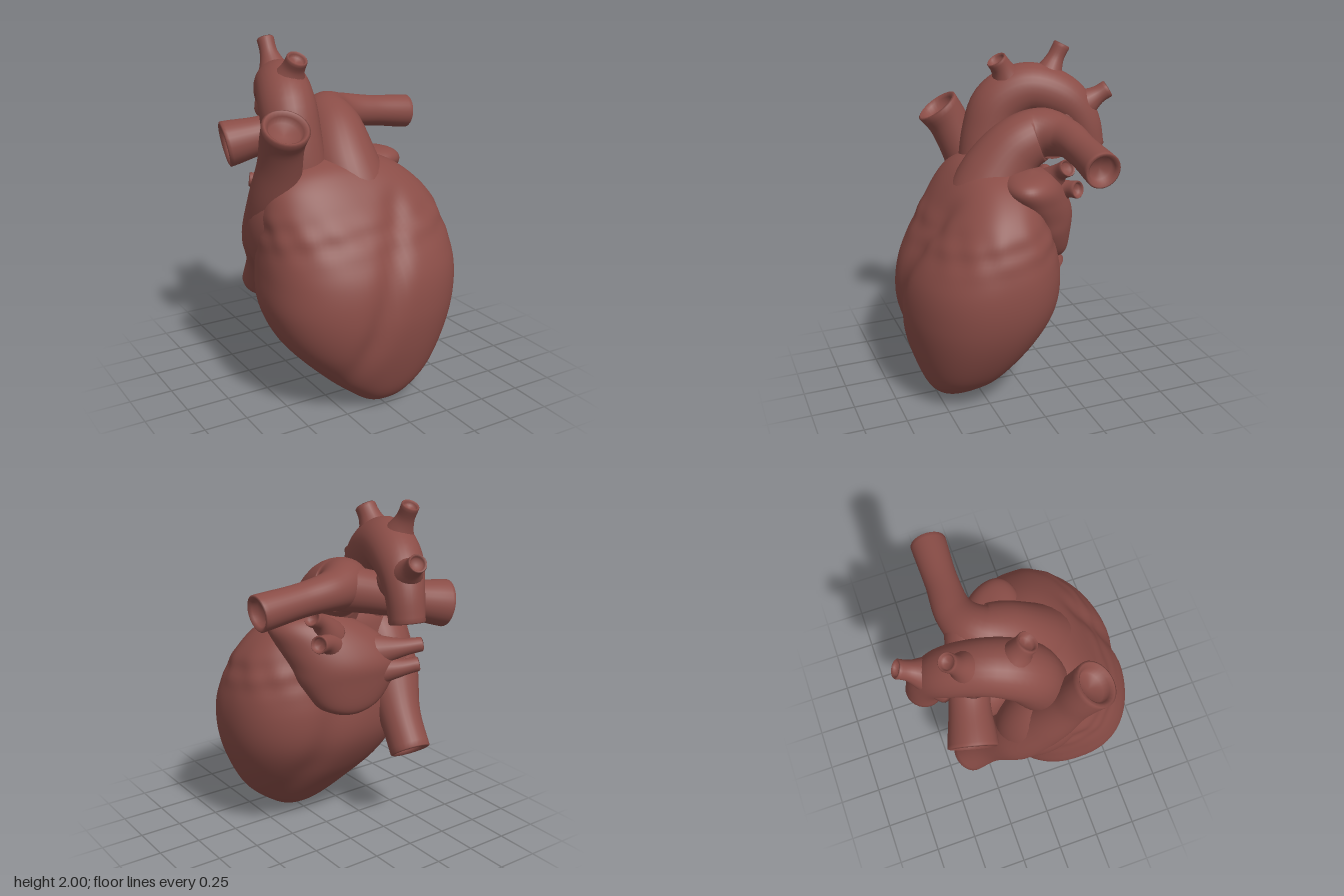
import * as THREE from 'three';
import { mergeVertices } from 'three/addons/utils/BufferGeometryUtils.js';

const flesh = new THREE.MeshStandardMaterial({ color: 0x8a4d47 });
flesh.name = 'flesh';

// Skin a list of closed rings (arrays of Vector3) into a smooth surface
function loft(rings) {
  const n = rings[0].length, index = [];
  for (let i = 0; i < rings.length - 1; i++) {
    for (let j = 0; j < n; j++) {
      const a = i * n + j, b = i * n + (j + 1) % n;
      index.push(a, a + n, b, b, a + n, b + n);
    }
  }
  let geo = new THREE.BufferGeometry().setFromPoints(rings.flat());
  geo.setIndex(index);
  geo = mergeVertices(geo, 1e-5);
  geo.computeVertexNormals();
  return geo;
}

function part(group, name, geo) {
  const mesh = new THREE.Mesh(geo, flesh);
  mesh.name = name;
  group.add(mesh);
  return mesh;
}

// Vessel through points [x, y, z, radius]; open ends get a lip and a hollow
function vessel(points, hollowStart = false, sides = 28, steps = 40) {
  const curve = new THREE.CatmullRomCurve3(points.map(p => new THREE.Vector3(p[0], p[1], p[2])));
  const radii = new THREE.SplineCurve(points.map((p, i) => new THREE.Vector2(i, p[3])));
  const frames = curve.computeFrenetFrames(steps);
  const ring = (i, scale = 1, inset = 0) => {
    const u = i / steps, c = curve.getPointAt(u).addScaledVector(frames.tangents[i], inset);
    const r = radii.getPoint(curve.getUtoTmapping(u)).y * scale;
    return Array.from({ length: sides }, (_, j) => {
      const a = j / sides * Math.PI * 2;
      return c.clone().addScaledVector(frames.normals[i], r * Math.cos(a))
        .addScaledVector(frames.binormals[i], -r * Math.sin(a));
    });
  };
  const r0 = points[0][3], r1 = points[points.length - 1][3];
  const rings = hollowStart
    ? [ring(0, 0, r0 * 0.5), ring(0, 0.66, r0 * 0.4), ring(0, 0.74, r0 * 0.1), ring(0, 0.9, -0.006)]
    : [ring(0, 0)];
  for (let i = 0; i <= steps; i++) rings.push(ring(i));
  rings.push(ring(steps, 0.9, 0.006), ring(steps, 0.74, -r1 * 0.1), ring(steps, 0.66, -r1 * 0.4), ring(steps, 0, -r1 * 0.5));
  return loft(rings);
}

// Rounded body from cross-sections [y, xMin, xMax, zMin, zMax], then moved by a rule
function chamber(rows, steps, sides, squareness, rule) {
  const spline = (a, b) => new THREE.CatmullRomCurve3(rows.map(r => new THREE.Vector3(r[a], r[0], r[b])), false, 'catmullrom');
  const xs = spline(1, 2), zs = spline(3, 4), rings = [];
  const power = v => Math.sign(v) * Math.abs(v) ** squareness;
  for (let i = 0; i <= steps; i++) {
    const X = xs.getPoint(i / steps), Z = zs.getPoint(i / steps);
    rings.push(Array.from({ length: sides }, (_, j) => {
      const a = j / sides * Math.PI * 2, c = power(Math.cos(a)), s = power(Math.sin(a));
      const p = new THREE.Vector3((X.x + X.z + (X.z - X.x) * c) / 2, X.y, (Z.x + Z.z + (Z.z - Z.x) * s) / 2);
      rule(p, c, s, a);
      return p;
    }));
  }
  return loft(rings);
}

const bump = (v, width) => Math.exp(-((v / width) ** 2));

// Slanting grooves between the ventricles, and a lumpy fat band under the atria
function ventricleRule(p, c, s, a) {
  const { x, y } = p;
  const fade = THREE.MathUtils.smoothstep(y, 0.03, 0.5) * (1 - THREE.MathUtils.smoothstep(y, 1.1, 1.3));
  const front = 0.03 * bump(x + 0.2 - 0.38 * (y - 0.4), 0.08);
  const back = 0.035 * bump(x - 0.08 - 0.3 * (0.75 - y), 0.12);
  p.z -= fade * s * (s > 0 ? front : back);
  const lump = 0.007 * bump(y - 1.03, 0.1) * Math.sin(9 * a + 14 * y) * Math.sin(5 * a - 31 * y);
  p.x += lump * c;
  p.z += lump * s;
}

export function createModel() {
  const heart = new THREE.Group();
  heart.name = 'heart';

  part(heart, 'ventricles', chamber([
    [0, 0, 0, 0.4, 0.4], [0.02, -0.09, 0.1, 0.3, 0.48], [0.08, -0.18, 0.2, 0.2, 0.55],
    [0.2, -0.33, 0.34, 0.08, 0.605], [0.4, -0.52, 0.46, -0.09, 0.66], [0.6, -0.605, 0.53, -0.2, 0.68],
    [0.8, -0.605, 0.545, -0.22, 0.65], [1.0, -0.585, 0.505, -0.18, 0.55], [1.15, -0.57, 0.44, -0.13, 0.455],
    [1.28, -0.52, 0.31, -0.1, 0.36], [1.36, -0.4, 0.16, -0.05, 0.27], [1.4, -0.2, -0.05, 0.05, 0.15],
    [1.4, -0.12, -0.12, 0.1, 0.1],
  ], 92, 96, 0.85, ventricleRule));

  // Left atrium with its auricle reaching forward, skewed towards the left front
  part(heart, 'leftAtrium', chamber([
    [0.8, 0.06, 0.06, -0.24, -0.24], [0.815, -0.04, 0.15, -0.29, -0.16], [0.87, -0.16, 0.23, -0.32, -0.09],
    [1.0, -0.27, 0.29, -0.34, 0], [1.1, -0.28, 0.31, -0.345, 0.05], [1.2, -0.25, 0.33, -0.3, 0.11],
    [1.3, -0.14, 0.34, -0.22, 0.14], [1.36, 0, 0.28, -0.14, 0.09], [1.385, 0.14, 0.14, -0.04, -0.04],
  ], 48, 56, 0.9, p => { p.x += 0.35 * (p.z + 0.1); }));

  const rightAtrium = part(heart, 'rightAtrium', new THREE.SphereGeometry(1, 40, 28));
  rightAtrium.position.set(-0.395, 1.02, 0.05);
  rightAtrium.scale.set(0.205, 0.35, 0.25);
  rightAtrium.rotation.x = 0.4;

  // Great veins, one continuous channel down the back
  part(heart, 'venaCava', vessel([
    [-0.495, 1.62, 0.295, 0.13], [-0.49, 1.54, 0.24, 0.122], [-0.475, 1.4, 0.175, 0.122],
    [-0.455, 1.18, 0.07, 0.148], [-0.41, 0.92, -0.08, 0.168], [-0.36, 0.71, -0.24, 0.125],
    [-0.34, 0.53, -0.37, 0.118],
  ], true));

  // Aorta and its three branches, each flaring at the root
  part(heart, 'aorta', vessel([
    [-0.28, 1.15, 0.1, 0.15], [-0.32, 1.48, 0.035, 0.16], [-0.315, 1.65, -0.035, 0.16],
    [-0.27, 1.735, -0.19, 0.15], [-0.2, 1.67, -0.39, 0.135], [-0.16, 1.54, -0.49, 0.11],
    [-0.15, 1.38, -0.53, 0.1],
  ]));
  const branches = [
    [[-0.3, 1.68, -0.11, 0.15], [-0.285, 1.79, -0.07, 0.1], [-0.275, 1.86, -0.035, 0.066], [-0.27, 1.915, 0.002, 0.06]],
    [[-0.25, 1.7, -0.27, 0.14], [-0.255, 1.82, -0.32, 0.085], [-0.26, 1.9, -0.36, 0.052], [-0.26, 1.975, -0.4, 0.05]],
    [[-0.2, 1.58, -0.4, 0.13], [-0.155, 1.65, -0.52, 0.085], [-0.135, 1.69, -0.58, 0.055], [-0.12, 1.725, -0.635, 0.052]],
  ];
  branches.forEach((p, i) => part(heart, 'aortaBranch' + (i + 1), vessel(p, false, 20, 18)));

  // Pulmonary trunk sweeping into its left branch, and the right branch
  part(heart, 'pulmonaryTrunk', vessel([
    [0.02, 0.85, 0.3, 0.12], [-0.02, 1.1, 0.185, 0.225], [-0.04, 1.3, 0.095, 0.21], [-0.02, 1.47, -0.03, 0.172],
    [0.01, 1.535, -0.17, 0.15], [0.14, 1.54, -0.25, 0.11], [0.35, 1.52, -0.26, 0.092],
    [0.61, 1.49, -0.255, 0.1],
  ], false, 32, 64));
  part(heart, 'rightPulmonaryArtery', vessel([
    [0.08, 1.54, -0.2, 0.13], [-0.1, 1.5, -0.26, 0.12], [-0.32, 1.44, -0.33, 0.11], [-0.54, 1.395, -0.385, 0.134],
  ]));

  // Pulmonary veins
  const veins = [
    [[0.1, 1.26, -0.16, 0.1], [0.18, 1.355, -0.2, 0.052], [0.25, 1.4, -0.22, 0.05]],
    [[0.1, 1.2, -0.18, 0.1], [0.18, 1.25, -0.25, 0.052], [0.25, 1.265, -0.285, 0.05]],
    [[-0.12, 1.13, -0.2, 0.11], [-0.29, 1.155, -0.31, 0.056], [-0.4, 1.17, -0.365, 0.042]],
    [[-0.1, 1.02, -0.2, 0.11], [-0.27, 1.04, -0.32, 0.056], [-0.37, 1.06, -0.375, 0.042]],
  ];
  veins.forEach((p, i) => part(heart, (i < 2 ? 'left' : 'right') + 'PulmonaryVein' + (i % 2 + 1), vessel(p, false, 18, 14)));
  return heart;
}
